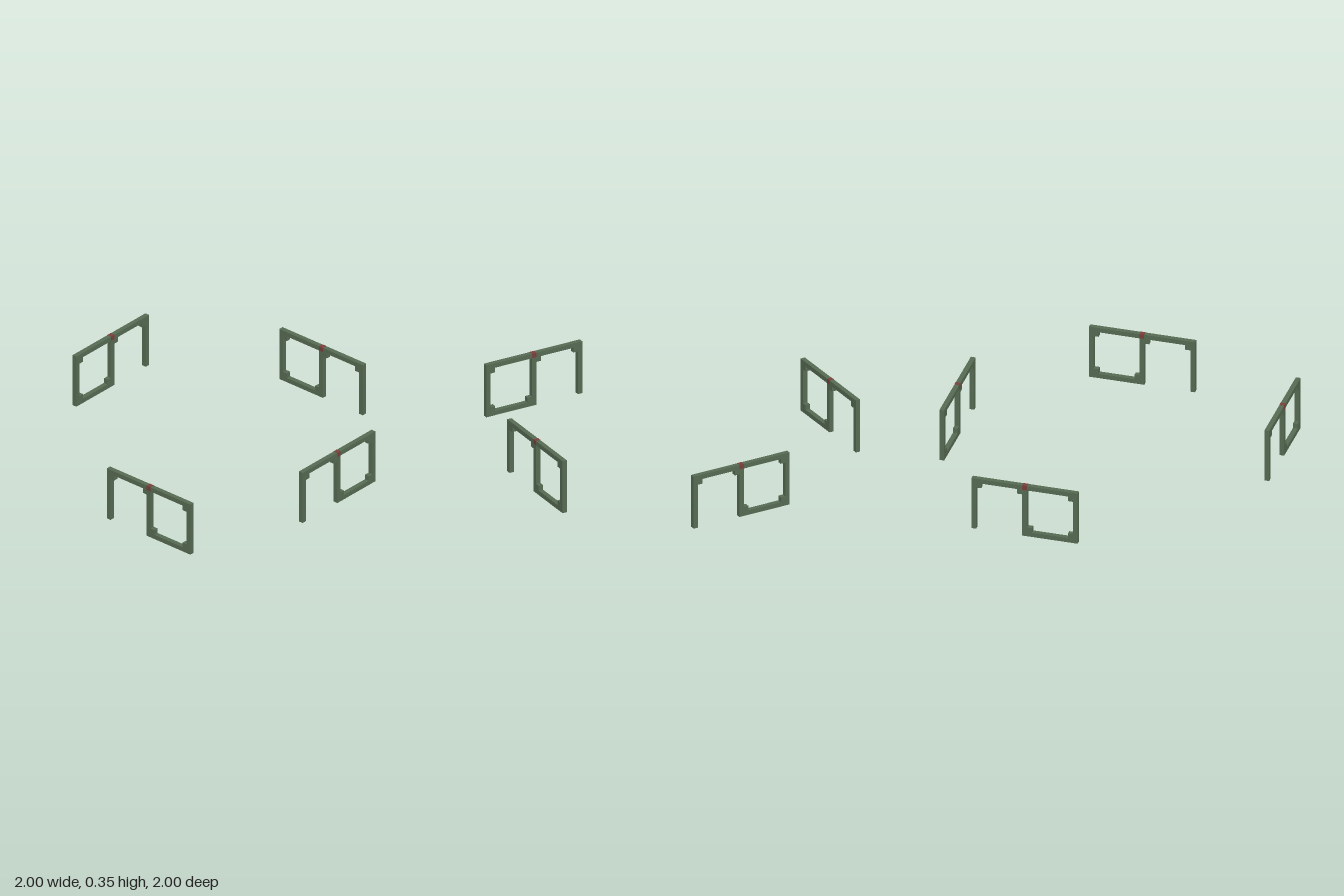
import * as THREE from 'three';

const H = 0.352;      // panel height
const HALF = 0.3375;  // half panel width
const T = 0.03;       // bar thickness
const B = 0.032;      // corner block size

const frameMaterial = new THREE.MeshStandardMaterial({ color: 0x566b52 });
frameMaterial.name = 'mutedGreen';
const markerMaterial = new THREE.MeshStandardMaterial({ color: 0x7a3f3b });
markerMaterial.name = 'dullRed';

// Panel outline: open doorway on the left, closed window on the right,
// with square blocks in the corners
function frameGeometry() {
  const top = H - T, in0 = -HALF + T, mid = T / 2, in1 = HALF - T;
  const points = (list) => list.map(([x, y]) => new THREE.Vector2(x, y));
  const shape = new THREE.Shape(points([
    [-HALF, 0], [in0, 0], [in0, top - B], [in0 + B, top - B], [in0 + B, top],
    [-mid - B, top], [-mid - B, top - B], [-mid, top - B], [-mid, 0],
    [HALF, 0], [HALF, H], [-HALF, H],
  ]));
  shape.holes.push(new THREE.Path(points([
    [mid, T + B], [mid, top], [in1 - B, top], [in1 - B, top - B], [in1, top - B],
    [in1, T + B], [in1 - B, T + B], [in1 - B, T], [mid + B, T], [mid + B, T + B],
  ])));
  const geometry = new THREE.ExtrudeGeometry(shape, { depth: T, bevelEnabled: false });
  geometry.translate(0, 0, -T / 2);
  return geometry;
}

export function createModel() {
  const model = new THREE.Group();
  model.name = 'frameSet';
  const panelGeometry = frameGeometry();
  const markerGeometry = new THREE.BoxGeometry(T, T, T + 0.002);

  // Four panels around the square, each facing outwards
  const places = [
    ['front', 0.0775, 0.985],
    ['left', 0.985, 0.0775],
    ['back', 0.24, -0.985],
    ['right', -0.985, 0.4],
  ];
  places.forEach(([side, x, z], i) => {
    const panel = new THREE.Group();
    panel.name = side + 'Panel';
    const frame = new THREE.Mesh(panelGeometry, frameMaterial);
    frame.name = side + 'Frame';
    // Red joint block in the middle of the top rail
    const marker = new THREE.Mesh(markerGeometry, markerMaterial);
    marker.name = side + 'RailMarker';
    marker.position.y = H - T / 2 + 0.001;
    panel.add(frame, marker);
    panel.position.set(x, 0, z);
    panel.rotation.y = (i * Math.PI) / 2;
    model.add(panel);
  });
  return model;
}
